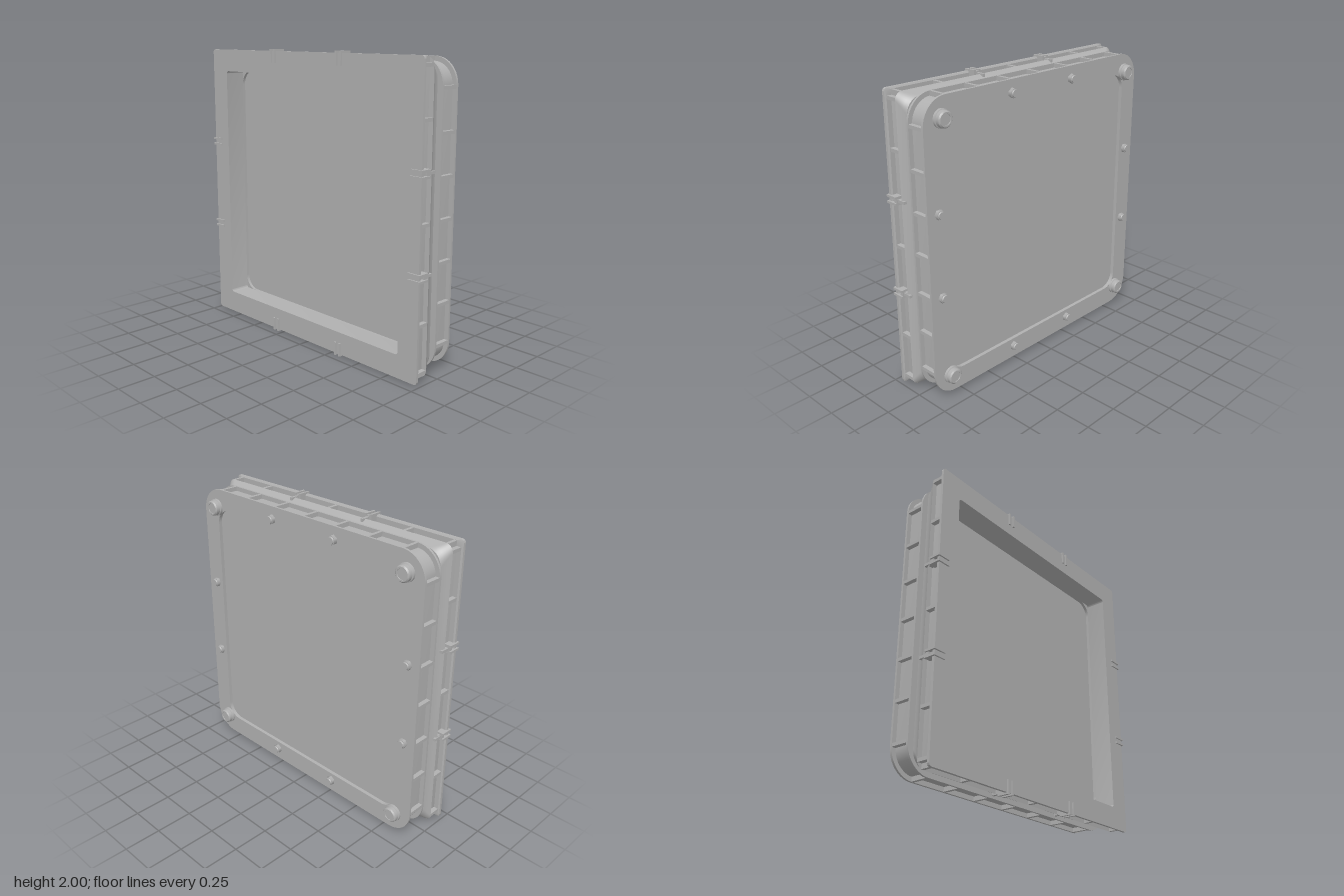
import * as THREE from 'three';
import { toCreasedNormals } from 'three/addons/utils/BufferGeometryUtils.js';

const CORNER_STEPS = 10;

// points of a rounded square, counter-clockwise seen from the front
function roundedLoop(half, radius) {
  const points = [];
  for (let q = 0; q < 4; q++) {
    const cx = (half - radius) * (q === 0 || q === 3 ? 1 : -1);
    const cy = (half - radius) * (q < 2 ? 1 : -1);
    for (let s = 0; s <= CORNER_STEPS; s++) {
      const a = (q + s / CORNER_STEPS) * Math.PI / 2;
      points.push([cx + radius * Math.cos(a), cy + radius * Math.sin(a)]);
    }
  }
  return points;
}

// sweep a closed profile of [half size, corner radius, z] around a square frame
function frameGeometry(profile) {
  const position = [], index = [];
  const count = 4 * (CORNER_STEPS + 1);
  profile.forEach(([half, radius, z]) =>
    roundedLoop(half, radius).forEach(([x, y]) => position.push(x, y, z)));
  for (let i = 0; i < profile.length; i++) {
    const next = (i + 1) % profile.length;
    for (let j = 0; j < count; j++) {
      const k = (j + 1) % count;
      const a = i * count + j, b = next * count + j;
      const c = next * count + k, d = i * count + k;
      index.push(a, b, c, a, c, d);
    }
  }
  const geometry = new THREE.BufferGeometry();
  geometry.setAttribute('position', new THREE.Float32BufferAttribute(position, 3));
  geometry.setIndex(index);
  return toCreasedNormals(geometry, 0.5);
}

export function createModel() {
  const model = new THREE.Group();
  model.name = 'squareFramedHousing';
  const body = new THREE.Group();
  body.name = 'housing';
  body.position.y = 1;
  model.add(body);

  const grey = new THREE.MeshStandardMaterial({ color: 0xb0b0b0 });
  grey.name = 'plain grey';

  function add(name, geometry, parent, x = 0, y = 0, z = 0) {
    const mesh = new THREE.Mesh(geometry, grey);
    mesh.name = name;
    mesh.position.set(x, y, z);
    parent.add(mesh);
    return mesh;
  }

  // front frame: lip, outer channel, tapered flange and stepped neck
  add('frontFrame', frameGeometry([
    [0.835, 0.02, 0.19], [0.988, 0.02, 0.19], [0.988, 0.02, 0.172],
    [0.978, 0.04, 0.165], [0.945, 0.03, 0.165], [0.945, 0.03, 0.088],
    [0.978, 0.05, 0.086], [0.968, 0.06, 0.07], [0.955, 0.08, 0.045],
    [0.95, 0.1, 0.02], [0.93, 0.1, 0.02], [0.93, 0.1, -0.005],
    [0.835, 0.1, -0.005], [0.835, 0.1, 0.045], [0.835, 0.02, 0.045],
  ]), body);

  // back frame: two flanges with a channel between, large rounded corners
  add('backFrame', frameGeometry([
    [0.835, 0.1, 0], [0.975, 0.17, 0], [0.975, 0.17, -0.014],
    [0.945, 0.14, -0.014], [0.945, 0.14, -0.13],
    [0.975, 0.17, -0.13], [0.975, 0.17, -0.145], [0.835, 0.1, -0.145],
  ]), body);

  // panel closing the opening
  const panelShape = new THREE.Shape(
    roundedLoop(0.84, 0.1).map(([x, y]) => new THREE.Vector2(x, y)));
  add('centrePanel', new THREE.ExtrudeGeometry(panelShape,
    { depth: 0.145, bevelEnabled: false }), body, 0, 0, -0.12);

  // corner feet on the back
  const footProfile = [[0.058, 0], [0.058, 0.015], [0.052, 0.018], [0.052, 0.042],
    [0.044, 0.05], [0.034, 0.05], [0.033, 0.047], [0, 0.047]];
  const footGeometry = toCreasedNormals(new THREE.LatheGeometry(
    footProfile.map(([r, h]) => new THREE.Vector2(r, h)), 28), 0.5);
  for (const x of [-0.845, 0.845]) for (const y of [-0.845, 0.845]) {
    add('cornerFoot', footGeometry, body, x, y, -0.145).rotation.x = -Math.PI / 2;
  }

  const frontRib = new THREE.BoxGeometry(0.022, 0.045, 0.08);
  const backRib = new THREE.BoxGeometry(0.022, 0.04, 0.12);
  const boltHead = new THREE.CylinderGeometry(0.032, 0.032, 0.024, 6);
  const boltCap = new THREE.CylinderGeometry(0.022, 0.026, 0.01, 16);
  const clipProng = new THREE.BoxGeometry(0.015, 0.09, 0.014);
  const clipArm = new THREE.BoxGeometry(0.015, 0.05, 0.08);
  const clipBridge = new THREE.BoxGeometry(0.055, 0.04, 0.025);
  const clipTail = new THREE.BoxGeometry(0.018, 0.025, 0.06);

  // each side is built as the top edge, then turned into place
  for (let s = 0; s < 4; s++) {
    const side = new THREE.Group();
    side.name = ['top', 'left', 'bottom', 'right'][s] + 'Side';
    side.rotation.z = -s * Math.PI / 2;
    body.add(side);

    for (let i = -3; i <= 3; i++) {
      add('frontRib', frontRib, side, i * 0.311, 0.954, 0.126);
      add('backRib', backRib, side, i * 0.266, 0.954, -0.072);
    }

    for (const x of [-0.275, 0.275]) {
      add('boltHead', boltHead, side, x, 0.89, -0.157).rotation.x = -Math.PI / 2;
      add('boltCap', boltCap, side, x, 0.89, -0.172).rotation.x = -Math.PI / 2;
    }

    // forked clips hooking over the front lip
    for (const x of [-0.313, 0.313]) {
      const clip = new THREE.Group();
      clip.name = 'clip';
      clip.position.x = x;
      side.add(clip);
      for (const dx of [-0.02, 0.02]) {
        add('clipProng', clipProng, clip, dx, 0.955, 0.193);
        add('clipArm', clipArm, clip, dx, 0.975, 0.157);
      }
      add('clipBridge', clipBridge, clip, 0, 0.97, 0.13);
      add('clipTail', clipTail, clip, 0, 0.97, 0.088);
    }
  }
  return model;
}
